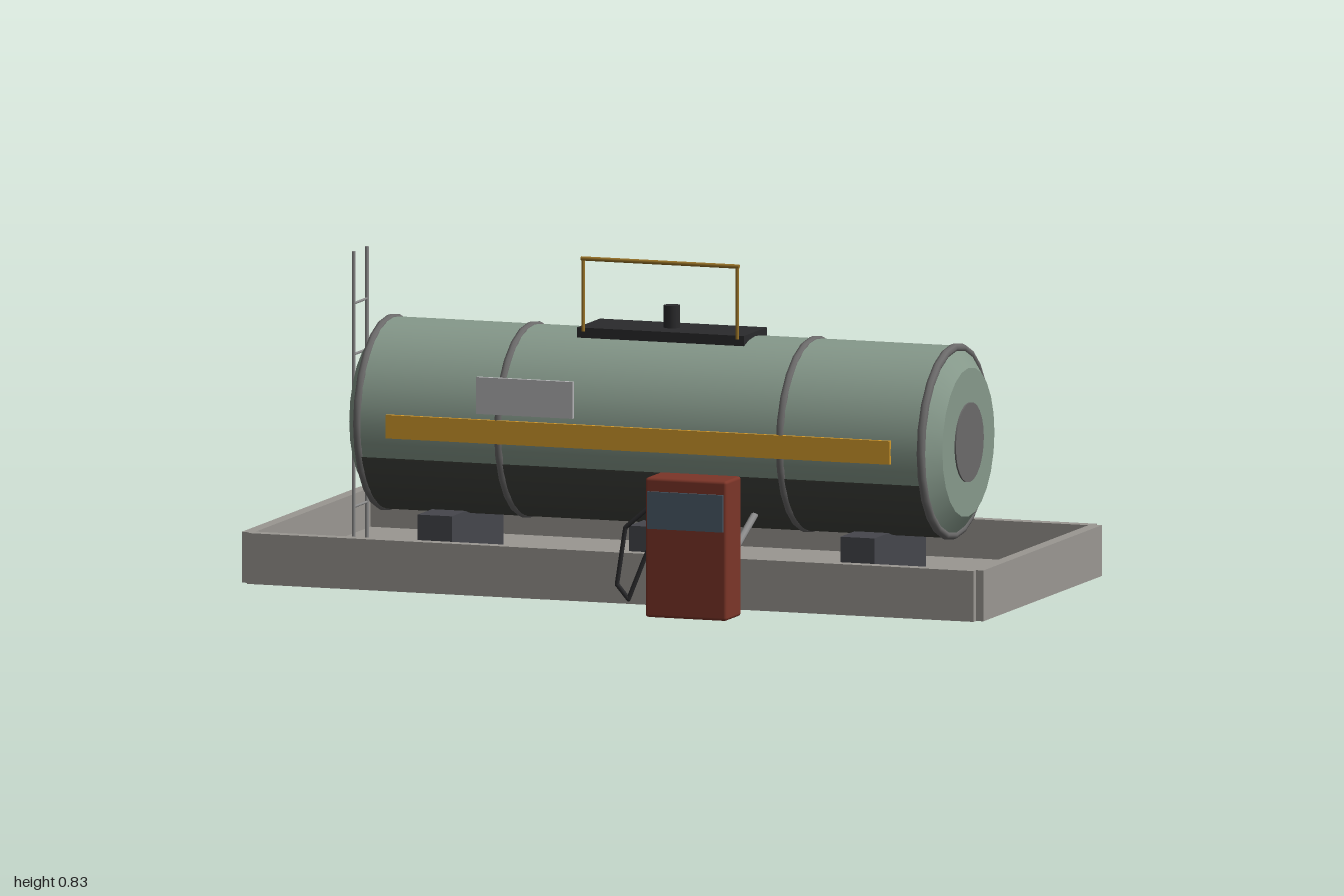
import * as THREE from 'three';
import { RoundedBoxGeometry } from 'three/addons/geometries/RoundedBoxGeometry.js';

const TANK_Y = 0.39, TANK_Z = -0.107, TANK_R = 0.243;

const material = (color, extra = {}) => new THREE.MeshStandardMaterial({ color, ...extra });
const M = {
  concrete: material(0x9a9792),
  tank: material(0x86998b),
  shade: material(0x42443f, { side: THREE.DoubleSide }),
  band: material(0x6b6a6a),
  saddle: material(0x45464c),
  stripe: material(0xd39a2c),
  plate: material(0xb4b4b6),
  black: material(0x2a2a2c),
  rail: material(0x9a7428),
  steel: material(0x8b8b8b),
  pump: material(0x7c3528),
  screen: material(0x4c5b69),
};

export function createModel() {
  const model = new THREE.Group();
  model.name = 'fuelStation';

  const add = (name, geometry, mat, x = 0, y = 0, z = 0, parent = model) => {
    const mesh = new THREE.Mesh(geometry, mat);
    mesh.name = name;
    mesh.position.set(x, y, z);
    parent.add(mesh);
    return mesh;
  };
  const box = (name, mat, w, h, d, x, y, z, parent) =>
    add(name, new THREE.BoxGeometry(w, h, d), mat, x, y, z, parent);
  // Round bar between two points
  const bar = (name, mat, r, a, b, parent) => {
    const from = new THREE.Vector3(...a), to = new THREE.Vector3(...b);
    const dir = to.clone().sub(from);
    const mesh = add(name, new THREE.CylinderGeometry(r, r, dir.length(), 8), mat, 0, 0, 0, parent);
    mesh.position.copy(from).add(to).multiplyScalar(0.5);
    mesh.quaternion.setFromUnitVectors(new THREE.Vector3(0, 1, 0), dir.normalize());
    return mesh;
  };
  const group = (name) => {
    const g = new THREE.Group();
    g.name = name;
    model.add(g);
    return g;
  };

  // Containment tray: floor and four low walls with notched corners
  const tray = group('tray');
  const trayZ = -0.108;
  box('trayFloor', M.concrete, 1.96, 0.03, 0.87, 0, 0.015, trayZ, tray);
  for (const s of [-1, 1]) {
    box('longWall', M.concrete, 1.96, 0.13, 0.032, 0, 0.065, trayZ + s * 0.435, tray);
    box('endWall', M.concrete, 0.032, 0.13, 0.866, s * 0.984, 0.065, trayZ, tray);
  }

  // Saddles under the tank
  for (const x of [-0.57, 0, 0.57]) box('saddle', M.saddle, 0.092, 0.13, 0.376, x, 0.095, TANK_Z);

  // Tank shell, tapered ends and end plates, all along x
  const tank = group('tank');
  tank.position.set(0, TANK_Y, TANK_Z);
  const alongX = (mesh, s = 1) => { mesh.rotation.z = -s * Math.PI / 2; return mesh; };
  alongX(add('tankShell', new THREE.CylinderGeometry(TANK_R, TANK_R, 1.52, 32, 1, true), M.tank, 0, 0, 0, tank));
  // Darker underside, an arc of the shell facing down
  const arc = THREE.MathUtils.degToRad(140);
  alongX(add('tankUnderside', new THREE.CylinderGeometry(TANK_R + 0.002, TANK_R + 0.002, 1.51, 24, 1, true,
    Math.PI / 2 - arc / 2, arc), M.shade, 0, 0, 0, tank));
  for (const s of [-1, 1]) {
    alongX(add('tankEnd', new THREE.CylinderGeometry(0.19, TANK_R, 0.04, 24), M.tank, s * 0.78, 0, 0, tank), s);
    alongX(add('endPlate', new THREE.CylinderGeometry(0.102, 0.102, 0.01, 24), M.band, s * 0.799, 0, 0, tank), s);
  }
  for (const x of [-0.76, -0.38, 0.38, 0.76]) {
    const ring = add('tankBand', new THREE.TorusGeometry(0.239, 0.0115, 8, 24), M.band, x, 0, 0, tank);
    ring.rotation.y = Math.PI / 2;
  }

  // Stripe and blank plate on both sides
  for (const s of [-1, 1]) {
    box('sideStripe', M.stripe, 1.36, 0.06, 0.016, 0, 0, s * 0.243, tank);
    box('sidePlate', M.plate, 0.26, 0.094, 0.012, -s * 0.305, 0.092, s * 0.246, tank);
  }

  // Top platform with vent and guard rail
  const platform = group('topPlatform');
  box('platformDeck', M.black, 0.45, 0.026, 0.168, 0, 0.631, TANK_Z, platform);
  add('vent', new THREE.CylinderGeometry(0.021, 0.021, 0.06, 12), M.black, 0, 0.671, TANK_Z, platform);
  for (const s of [-1, 1])
    bar('railPost', M.rail, 0.0045, [s * 0.208, 0.635, -0.022], [s * 0.208, 0.823, -0.022], platform);
  bar('topRail', M.rail, 0.0055, [-0.213, 0.821, -0.022], [0.213, 0.821, -0.022], platform);

  // Ladder at the right end
  const ladder = group('ladder');
  const sides = [-0.058, -0.154];
  for (const z of sides) bar('ladderSide', M.steel, 0.005, [-0.84, 0.03, z], [-0.84, 0.803, z], ladder);
  for (let i = 0; i < 5; i++) {
    const y = 0.15 + i * 0.13;
    bar('ladderRung', M.steel, 0.0035, [-0.84, y, sides[0]], [-0.84, y, sides[1]], ladder);
  }

  // Pipe from tank to dispenser
  bar('slopedPipe', M.steel, 0.0095, [0.28, 0.212, 0.02], [0.28, 0.067, 0.32]);
  bar('outletPipe', M.steel, 0.0095, [0.28, 0.067, 0.31], [0.28, 0.067, 0.46]);

  // Dispenser with screen and hose
  const dispenser = group('dispenser');
  add('cabinet', new RoundedBoxGeometry(0.22, 0.357, 0.11, 2, 0.008), M.pump, 0.281, 0.1785, 0.497, dispenser);
  box('screen', M.screen, 0.204, 0.095, 0.012, 0.281, 0.275, 0.553, dispenser);
  const hosePoints = [
    [0.175, 0.285, 0.495], [0.102, 0.22, 0.508], [0.082, 0.075, 0.515],
    [0.112, 0.038, 0.512], [0.15, 0.14, 0.5], [0.175, 0.2, 0.495],
  ];
  for (let i = 0; i < hosePoints.length - 1; i++) {
    bar('hose', M.black, 0.006, hosePoints[i], hosePoints[i + 1], dispenser);
    if (i) add('hoseBend', new THREE.SphereGeometry(0.006, 8, 6), M.black, ...hosePoints[i], dispenser);
  }

  return model;
}
